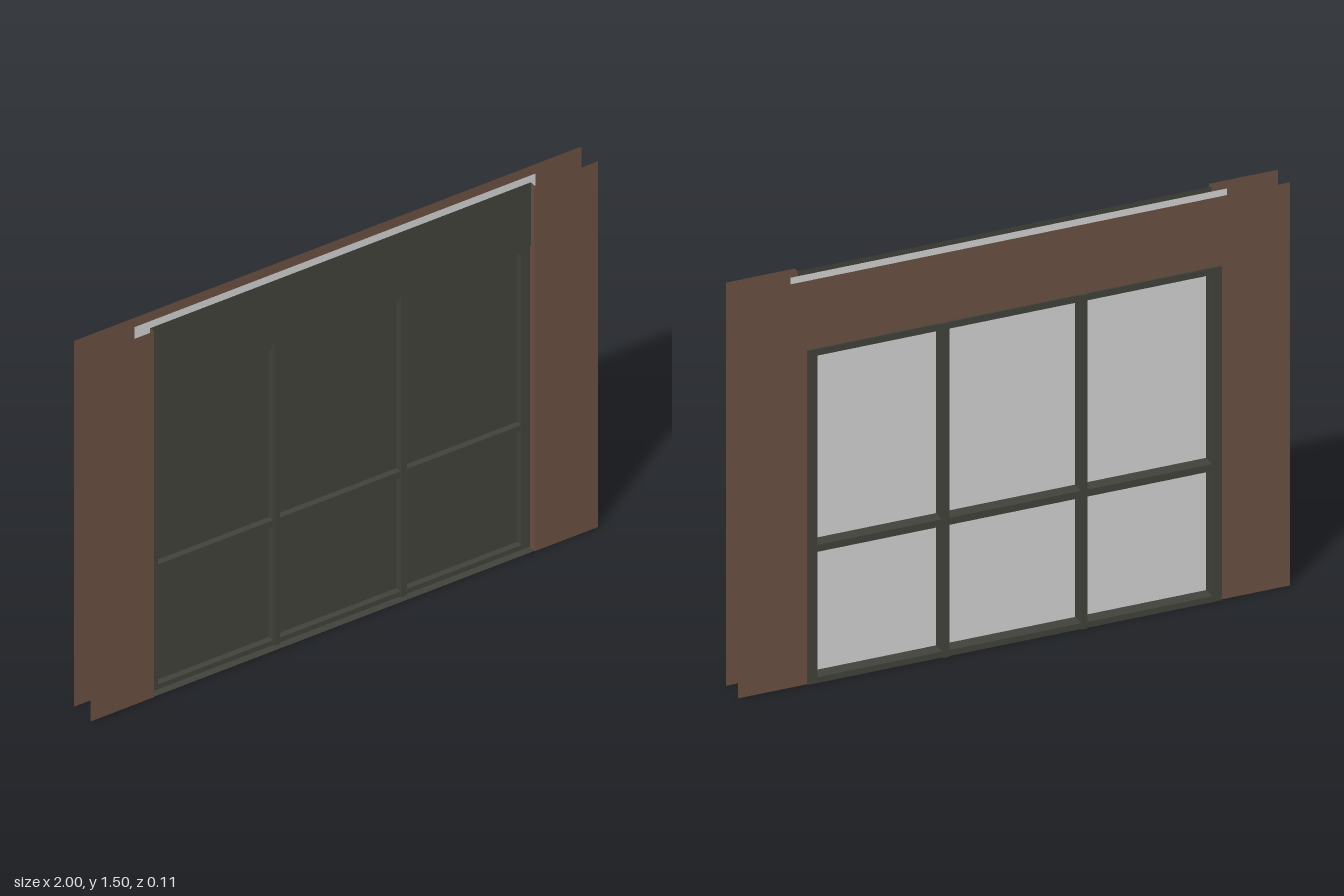
import * as THREE from 'three';

const make = (name, hex) => {
  const m = new THREE.MeshStandardMaterial({ color: hex, side: THREE.DoubleSide });
  m.name = name;
  return m;
};

export function createModel() {
  const model = new THREE.Group();
  const brown = make('brown wall', 0x6a4f42);
  const dark = make('dark frame', 0x41423b);
  const grey = make('pale glass', 0xd0d0d0);

  const add = (name, geometry, material, x = 0, y = 0, z = 0) => {
    const mesh = new THREE.Mesh(geometry, material);
    mesh.name = name;
    mesh.position.set(x, y, z);
    model.add(mesh);
    return mesh;
  };
  // Upright sheet facing z, given by its edges
  const sheet = (name, material, x0, x1, y0, y1, z) =>
    add(name, new THREE.PlaneGeometry(x1 - x0, y1 - y0), material, (x0 + x1) / 2, (y0 + y1) / 2, z);
  // Sheet facing x, for the sides of an opening
  const side = (name, material, x, y0, y1, z0, z1) => {
    const m = add(name, new THREE.PlaneGeometry(z1 - z0, y1 - y0), material, x, (y0 + y1) / 2, (z0 + z1) / 2);
    m.rotation.y = x < 0 ? Math.PI / 2 : -Math.PI / 2;
  };
  // Level sheet, for sills and heads
  const level = (name, material, x0, x1, y, z0, z1) => {
    const m = add(name, new THREE.PlaneGeometry(x1 - x0, z1 - z0), material, (x0 + x1) / 2, y, (z0 + z1) / 2);
    m.rotation.x = -Math.PI / 2;
  };
  const rect = (C, x0, x1, y0, y1) => {
    const p = new C();
    p.moveTo(x0, y0).lineTo(x1, y0).lineTo(x1, y1).lineTo(x0, y1).closePath();
    return p;
  };

  // Front wall strips and the sides of the opening
  for (const s of [-1, 1]) {
    sheet('frontWall', brown, s < 0 ? -1 : 0.75, s < 0 ? -0.75 : 1, 0, 1.5, 0.055);
    side('openingSide', brown, s * 0.75, 0, 1.24, 0.008, 0.055);
    side('openingSideUpper', brown, s * 0.75, 1.24, 1.5, 0.033, 0.055);
  }

  // Back wall around the window
  const wall = new THREE.Shape();
  [[-1, 0], [-0.75, 0], [-0.75, 1.24], [0.75, 1.24], [0.75, 0], [1, 0], [1, 1.5], [-1, 1.5]]
    .forEach(([x, y], i) => (i ? wall.lineTo(x, y) : wall.moveTo(x, y)));
  add('backWall', new THREE.ShapeGeometry(wall), brown, 0, 0, -0.044);

  // Panel above the window, and the sill
  sheet('headPanel', dark, -0.75, 0.75, 1.24, 1.5, 0.033);
  level('headPanelUnderside', dark, -0.75, 0.75, 1.24, 0.008, 0.033);
  level('sill', dark, -0.75, 0.75, 0.002, 0.004, 0.055);

  // Pale backing sheet, with the dark front of the panes on it
  sheet('glass', grey, -0.79, 0.79, 0.002, 1.5, 0);
  sheet('paneFront', dark, -0.75, 0.75, 0.002, 1.24, 0.004);

  // Six panes
  const columns = [[-0.715, -0.263], [-0.24, 0.24], [0.263, 0.715]];
  const rows = [[0.022, 0.488], [0.514, 1.218]];
  const panes = columns.flatMap((c) => rows.map((r) => [...c, ...r]));

  // Face plates of the window frame, front and back
  const face = rect(THREE.Shape, -0.75, 0.75, 0, 1.243);
  face.holes = panes.map((p) => rect(THREE.Path, ...p));
  add('frontFrame', new THREE.ShapeGeometry(face), dark, 0, 0, 0.027);
  const plate = new THREE.ExtrudeGeometry(face, { depth: 0.015, bevelEnabled: false });
  add('backFrame', plate, dark, 0, 0, -0.05);

  // Inner sides of each pane, front and back
  for (const [x0, x1, y0, y1] of panes) {
    for (const [z0, z1] of [[0.004, 0.027], [-0.037, -0.0005]]) {
      for (const x of [x0, x1]) side('paneSide', dark, x, y0, y1, z0, z1);
      for (const y of [y0, y1]) level('paneEdge', dark, x0, x1, y, z0, z1);
    }
  }

  // Raised strips on the mullions
  for (const x of [-0.25, 0.25]) {
    add('frontMullion', new THREE.BoxGeometry(0.022, 1.24, 0.008), dark, x, 0.62, 0.029);
    add('backMullion', new THREE.BoxGeometry(0.022, 1.243, 0.008), dark, x, 0.6215, -0.051);
  }
  return model;
}
